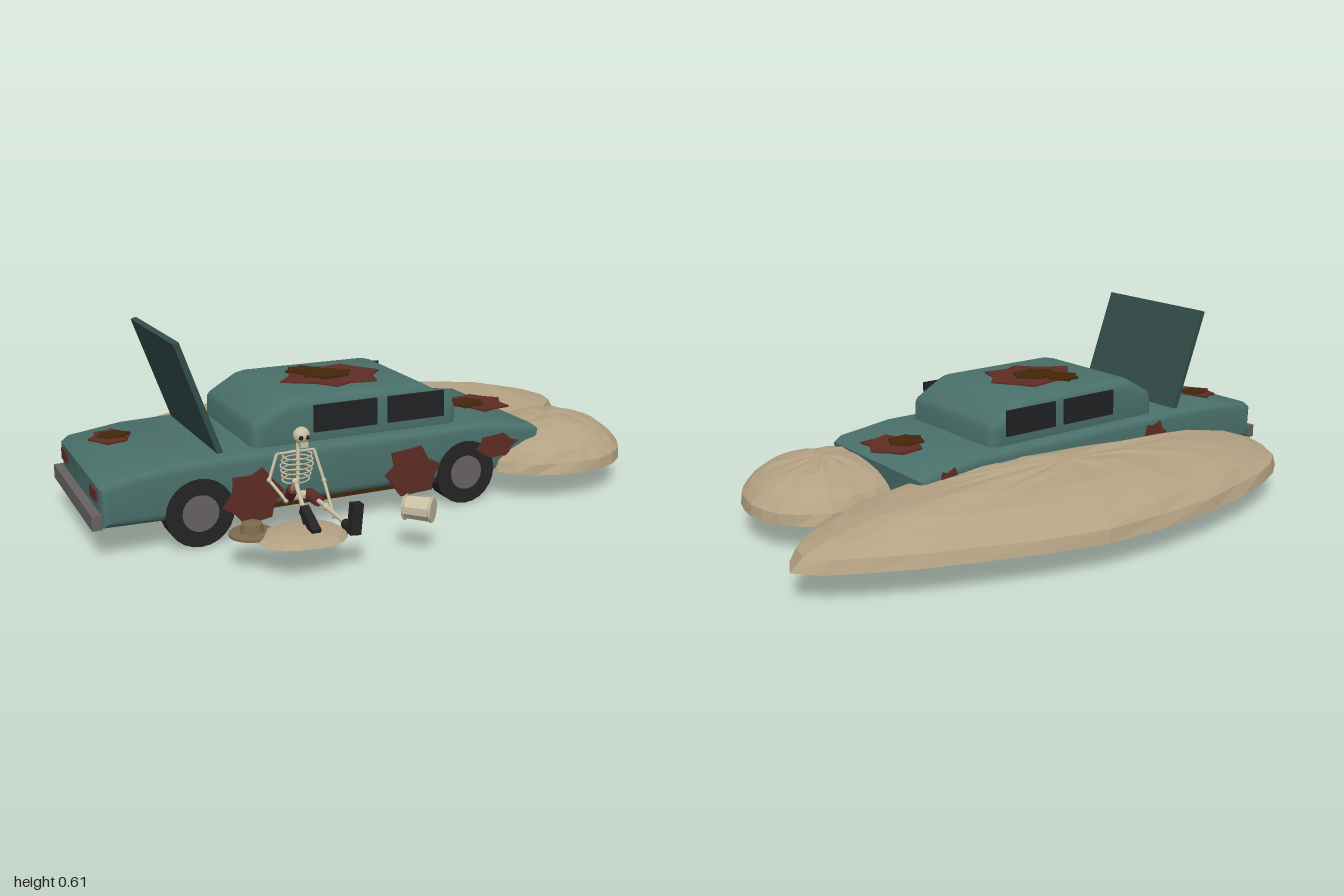
import * as THREE from 'three';
import { toCreasedNormals } from 'three/addons/utils/BufferGeometryUtils.js';

const paint = (name, color, flat = false) => {
  const m = new THREE.MeshStandardMaterial({ color, flatShading: flat });
  m.name = name;
  return m;
};
const V = (x, y, z) => new THREE.Vector3(x, y, z);

function seeded(seed) {
  let s = seed * 7919 + 17;
  return () => ((s = (s * 16807) % 2147483647) / 2147483647);
}

export function createModel() {
  const teal = paint('teal paint', 0x4a706a);
  const darkTeal = paint('dark teal panel', 0x324d4a);
  const rust = paint('red rust', 0x5e2d24);
  const brown = paint('brown rust', 0x432709);
  const black = paint('black rubber', 0x242424);
  const glass = paint('dark glass', 0x1f2224);
  const grey = paint('grey metal', 0x666262);
  const sand = paint('sand', 0xb3a182, true);
  const bone = paint('bone', 0xc9c1a5);
  const straw = paint('straw', 0x7d6a4c);

  const model = new THREE.Group();
  const add = (name, geo, mat, pos = [0, 0, 0], rot = [0, 0, 0], parent = model) => {
    const mesh = new THREE.Mesh(geo, mat);
    mesh.name = name;
    mesh.position.set(...pos);
    mesh.rotation.set(...rot);
    parent.add(mesh);
    return mesh;
  };
  const box = (x, y, z) => new THREE.BoxGeometry(x, y, z);

  // Side profile pulled across the car with rounded edges
  const shell = (name, pts, z0, z1, bevel) => {
    const shape = new THREE.Shape(pts.map(p => new THREE.Vector2(...p)));
    const geo = new THREE.ExtrudeGeometry(shape, {
      depth: z1 - z0 - 2 * bevel, bevelThickness: bevel, bevelSize: bevel,
      bevelOffset: -bevel, bevelSegments: 4,
    });
    add(name, toCreasedNormals(geo, 0.6), teal, [0, 0, z0 + bevel]);
  };
  shell('carBody', [[-0.97, 0.1], [-0.8, 0.096], [0.45, 0.091], [0.49, 0.1], [0.5, 0.22], [0.47, 0.24],
    [0.28, 0.264], [-0.6, 0.267], [-0.78, 0.262], [-0.95, 0.238], [-0.975, 0.22]], -0.23, 0.33, 0.025);
  shell('cabin', [[-0.5, 0.235], [0.21, 0.235], [0.208, 0.325], [0.198, 0.342], [0.1, 0.398], [0.07, 0.406],
    [-0.36, 0.407], [-0.395, 0.4], [-0.488, 0.345], [-0.498, 0.33]], -0.19, 0.28, 0.036);

  add('floorPan', box(0.98, 0.017, 0.535), brown, [-0.235, 0.094, 0.052]);
  add('rearBumper', box(0.03, 0.045, 0.54), grey, [-0.985, 0.12, 0.046]);
  for (const z of [-0.15, 0.25])
    add('tailLight', box(0.009, 0.035, 0.07), rust, [-0.976, 0.19, z]);

  // Raised lid
  add('openLid', box(0.018, 0.365, 0.475), darkTeal, [-0.662, 0.435, 0.04], [-0.01, 0, 0.34]);

  // Side windows
  for (const z of [0.284, -0.194]) {
    add('rearWindow', box(0.215, 0.085, 0.009), glass, [-0.193, 0.338, z]);
    add('frontWindow', box(0.2, 0.085, 0.009), glass, [0.053, 0.338, z]);
  }

  // Wheels; one corner has only its bare drum left
  for (const [x, z, side] of [[-0.685, 0.298, 1], [0.213, 0.298, 1], [0.213, -0.198, -1]]) {
    add('tyre', new THREE.CylinderGeometry(0.105, 0.105, 0.072, 24), black, [x, 0.109, z], [Math.PI / 2, 0, 0]);
    add('hub', new THREE.CylinderGeometry(0.056, 0.056, 0.008, 20), grey,
      [x, 0.109, z + side * 0.036], [Math.PI / 2, 0, 0]);
  }
  add('bareDrum', new THREE.CylinderGeometry(0.055, 0.055, 0.06, 16), brown,
    [-0.69, 0.1, -0.2], [Math.PI / 2, 0, 0]);

  // Jagged rust patches, drawn flat and then laid on a surface
  const patch = (mat, pos, rx, ry, seed, rot) => {
    const rnd = seeded(seed), pts = [];
    for (let i = 0; i < 12; i++) {
      const a = (i + rnd() * 0.5) / 12 * Math.PI * 2, r = (i % 2 ? 0.7 : 0.92) + 0.16 * rnd();
      pts.push(new THREE.Vector2(Math.cos(a) * rx * r, Math.sin(a) * ry * r));
    }
    const geo = new THREE.ExtrudeGeometry(new THREE.Shape(pts), { depth: 0.007, bevelEnabled: false });
    add('rustPatch', geo, mat, pos, rot);
  };
  const up = [-Math.PI / 2, 0, 0], out = [0, 0, 0], back = [0, Math.PI, 0];
  patch(rust, [-0.135, 0.404, 0.055], 0.18, 0.16, 3, up);
  patch(brown, [-0.2, 0.409, -0.045], 0.065, 0.06, 5, up);
  patch(brown, [-0.145, 0.41, 0.04], 0.085, 0.07, 8, up);
  patch(rust, [0.42, 0.252, 0.06], 0.1, 0.115, 11, up);
  patch(brown, [0.37, 0.257, 0.065], 0.07, 0.06, 14, up);
  patch(rust, [-0.85, 0.256, -0.06], 0.068, 0.085, 17, up);
  patch(brown, [-0.84, 0.261, -0.06], 0.055, 0.045, 19, up);
  patch(rust, [-0.52, 0.135, 0.328], 0.095, 0.095, 21, out);
  patch(rust, [0.015, 0.14, 0.328], 0.1, 0.09, 24, out);
  patch(rust, [0.33, 0.185, 0.328], 0.08, 0.045, 27, out);
  patch(rust, [-0.47, 0.19, -0.228], 0.06, 0.06, 31, back);
  patch(rust, [0.4, 0.19, -0.228], 0.05, 0.06, 33, back);

  // Faceted dome over a closed outline of [x, z] points
  const dune = (name, outline, height, seed, rings = 6) => {
    const n = outline.length * 2;
    const curve = new THREE.CatmullRomCurve3(outline.map(([x, z]) => V(x, 0, z)), true);
    const edge = curve.getPoints(n).slice(0, n);
    const c = edge.reduce((s, p) => s.add(p), V(0, 0, 0)).divideScalar(n);
    const rnd = seeded(seed), pos = [], idx = [], base = 0.095;
    for (let j = 0; j < rings; j++) {
      const f = (1 - j / rings) * Math.PI / 2;
      for (const p of edge) {
        const k = Math.sin(f) * (j ? 0.98 + 0.04 * rnd() : 1);
        const h = Math.cos(f) * height * (j ? 0.95 + 0.08 * rnd() : 1);
        pos.push(c.x + (p.x - c.x) * k, base + h, c.z + (p.z - c.z) * k);
      }
    }
    const top = n * rings, bottom = top + 1;
    pos.push(c.x, base + height, c.z, c.x, base, c.z);
    for (let i = 0; i < n; i++) {
      const m = (i + 1) % n;
      for (let j = 0; j < rings - 1; j++) {
        const a = j * n + i, b = j * n + m;
        idx.push(a, a + n, b, b, a + n, b + n);
      }
      idx.push((rings - 1) * n + i, top, (rings - 1) * n + m, i, m, bottom);
    }
    const geo = new THREE.BufferGeometry();
    geo.setAttribute('position', new THREE.Float32BufferAttribute(pos, 3));
    geo.setIndex(idx);
    geo.computeVertexNormals();
    add(name, geo, sand);
  };
  // Outlines run clockwise as seen from above
  dune('largeDune', [[-0.925, -0.3], [-0.8, -0.5], [-0.62, -0.605], [-0.29, -0.69], [0.16, -0.7], [0.56, -0.58],
    [0.83, -0.465], [1, -0.335], [0.89, -0.19], [0.73, -0.085], [0.45, -0.04], [0, -0.1], [-0.5, -0.16],
    [-0.88, -0.22]], 0.148, 4);
  dune('frontDune', [[0.31, 0.2], [0.4, 0], [0.55, -0.08], [0.73, -0.085], [0.82, -0.03], [0.885, 0.08],
    [0.885, 0.2], [0.835, 0.325], [0.73, 0.43], [0.58, 0.465], [0.42, 0.425], [0.33, 0.34]], 0.135, 9);
  dune('sandPatch', [[-0.61, 0.6], [-0.57, 0.52], [-0.47, 0.49], [-0.37, 0.52], [-0.34, 0.61], [-0.39, 0.69],
    [-0.48, 0.7], [-0.56, 0.68]], 0.025, 12, 3);

  // Straw hat lying on the sand
  const hat = [[0, 0], [0.066, 0], [0.066, 0.007], [0.035, 0.01], [0.03, 0.034], [0, 0.036]]
    .map(p => new THREE.Vector2(...p));
  add('strawHat', toCreasedNormals(new THREE.LatheGeometry(hat, 20), 0.6), straw, [-0.6, 0.1, 0.535]);

  // Tipped bucket with hoops
  const bucket = new THREE.Group();
  bucket.name = 'bucket';
  bucket.position.set(-0.128, 0.14, 0.645);
  bucket.rotation.set(Math.PI / 2, 0, -Math.PI / 4);
  model.add(bucket);
  add('bucketSide', toCreasedNormals(new THREE.CylinderGeometry(0.037, 0.034, 0.088, 10), 0.5), bone,
    [0, 0, 0], [0, 0, 0], bucket);
  for (const y of [-0.038, 0.04])
    add('bucketRim', new THREE.TorusGeometry(0.036, 0.003, 6, 16), bone, [0, y, 0], [Math.PI / 2, 0, 0], bucket);

  // Skeleton sitting against the car
  const skeleton = new THREE.Group();
  skeleton.name = 'skeleton';
  model.add(skeleton);
  const limb = (name, a, b, r, mat = bone) => {
    const p = V(...a), q = V(...b), d = q.clone().sub(p);
    const mesh = add(name, new THREE.CylinderGeometry(r, r, d.length(), 8), mat,
      p.clone().add(q).multiplyScalar(0.5).toArray(), [0, 0, 0], skeleton);
    mesh.quaternion.setFromUnitVectors(V(0, 1, 0), d.normalize());
  };
  const chain = (name, pts, r) => {
    for (let i = 0; i < pts.length - 1; i++) {
      limb(name, pts[i], pts[i + 1], r);
      add('joint', new THREE.SphereGeometry(r * 1.6, 8, 6), bone, pts[i + 1], [0, 0, 0], skeleton);
    }
  };
  add('skull', new THREE.SphereGeometry(0.026, 14, 10), bone, [-0.38, 0.32, 0.375], [0, 0, 0], skeleton);
  add('jaw', box(0.024, 0.016, 0.022), bone, [-0.38, 0.295, 0.387], [0, 0, 0], skeleton);
  for (const s of [-1, 1])
    add('eyeSocket', new THREE.SphereGeometry(0.0075, 8, 6), glass, [-0.38 + s * 0.01, 0.318, 0.396], [0, 0, 0], skeleton);
  limb('spine', [-0.405, 0.14, 0.4], [-0.385, 0.3, 0.36], 0.006);
  limb('shoulders', [-0.455, 0.268, 0.362], [-0.335, 0.268, 0.362], 0.004);
  limb('pelvis', [-0.44, 0.145, 0.405], [-0.365, 0.145, 0.405], 0.014);
  for (let i = 0; i < 6; i++) {
    const rib = add('rib', new THREE.TorusGeometry(0.052 - 0.003 * Math.abs(i - 3), 0.003, 5, 18), bone,
      [-0.401 + i * 0.002, 0.188 + i * 0.014, 0.378 - i * 0.002], [Math.PI / 2 + 0.25, 0, 0], skeleton);
    rib.scale.y = 0.58;
  }
  chain('leftArm', [[-0.335, 0.268, 0.362], [-0.315, 0.175, 0.39], [-0.31, 0.08, 0.45]], 0.005);
  chain('rightArm', [[-0.455, 0.268, 0.362], [-0.485, 0.195, 0.375], [-0.45, 0.14, 0.42]], 0.005);
  chain('rightLeg', [[-0.435, 0.145, 0.41], [-0.45, 0.222, 0.495], [-0.45, 0.14, 0.57]], 0.007);
  chain('leftLeg', [[-0.37, 0.145, 0.41], [-0.37, 0.145, 0.53], [-0.355, 0.125, 0.675]], 0.007);
  limb('rightShortsLeg', [-0.435, 0.14, 0.4], [-0.443, 0.187, 0.457], 0.017, rust);
  limb('leftShortsLeg', [-0.37, 0.145, 0.4], [-0.37, 0.145, 0.475], 0.018, rust);
  limb('rightBootShaft', [-0.45, 0.155, 0.555], [-0.45, 0.125, 0.58], 0.014, black);
  add('rightBoot', box(0.026, 0.026, 0.1), black, [-0.45, 0.138, 0.6], [0.45, 0, 0], skeleton);
  limb('leftBootShaft', [-0.36, 0.13, 0.64], [-0.355, 0.125, 0.69], 0.015, black);
  add('leftBoot', box(0.032, 0.09, 0.028), black, [-0.352, 0.16, 0.69], [0, 0, -0.1], skeleton);

  return model;
}
